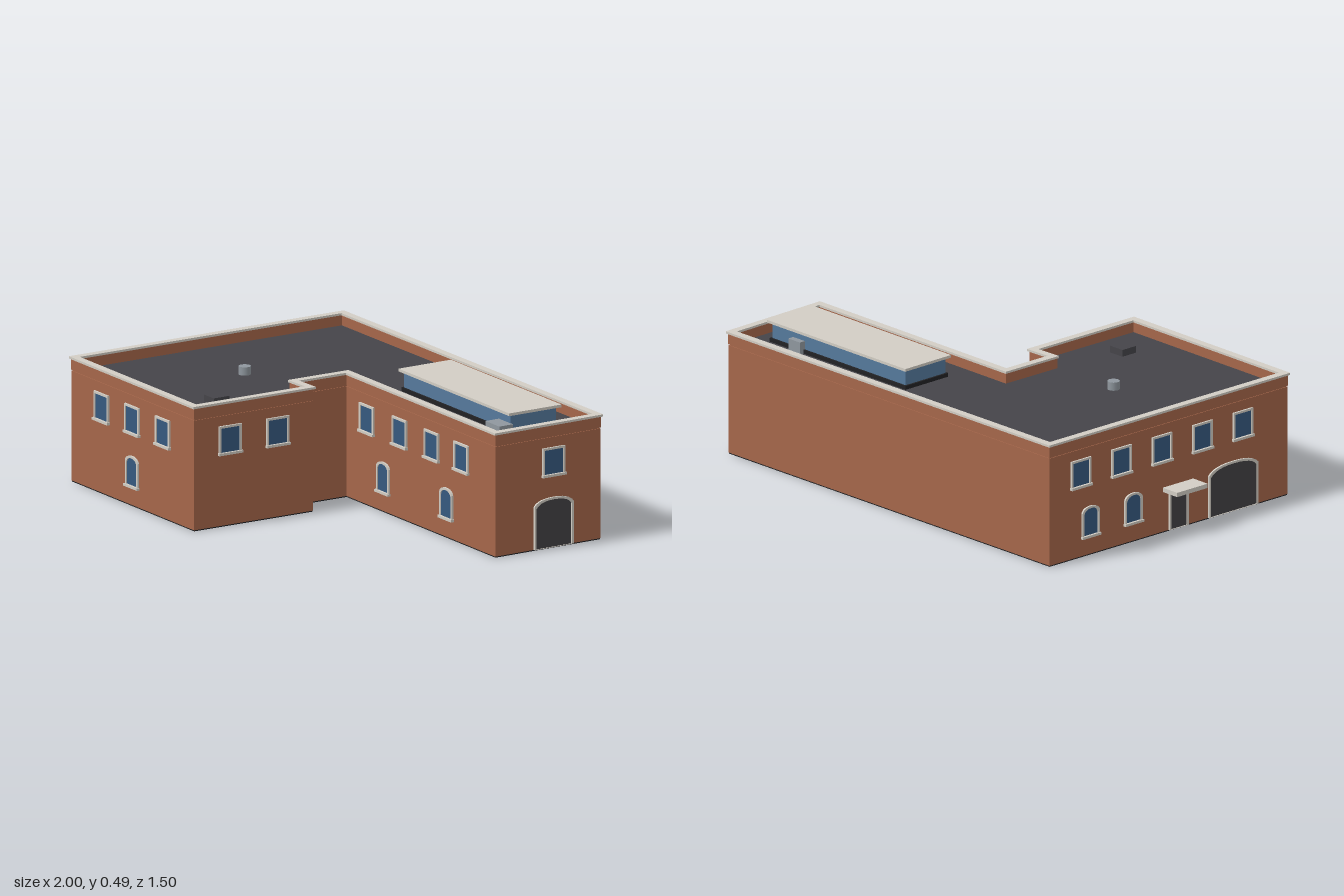
import * as THREE from 'three';

const mat = (color) => new THREE.MeshStandardMaterial({ color });
const BRICK = mat(0xa5664a), STONE = mat(0xd2cdc4), ROOF = mat(0x454449), GLASS = mat(0x36597f),
  DARK = mat(0x222224), DOOR = mat(0x434245), METAL = mat(0x8f979e), SKY = mat(0x55799c);

// Footprint corners (x, z), walking round from the rear corner
const PLAN = [[-0.18, -0.75], [1, 0.42], [0.68, 0.75], [0, 0.065],
  [-0.14, 0.2], [-0.065, 0.27], [-0.43, 0.625], [-1, 0.05]].map(([x, z]) => new THREE.Vector2(x, z));

const inward = (p, q) => {
  const d = q.clone().sub(p).normalize();
  return new THREE.Vector2(-d.y, d.x);
};

// Footprint moved inwards by t with mitred corners
function inset(t) {
  const n = PLAN.length;
  return PLAN.map((p, i) => {
    const a = inward(PLAN[(i + n - 1) % n], p), b = inward(p, PLAN[(i + 1) % n]);
    return p.clone().addScaledVector(a.clone().add(b), t / (1 + a.dot(b)));
  });
}

function add(parent, name, geometry, material, x = 0, y = 0, z = 0) {
  const mesh = new THREE.Mesh(geometry, material);
  mesh.name = name;
  mesh.position.set(x, y, z);
  parent.add(mesh);
  return mesh;
}

const box = (parent, name, material, w, h, d, x, y, z) =>
  add(parent, name, new THREE.BoxGeometry(w, h, d), material, x, y, z);

// Horizontal layer of the footprint, a ring when an inner inset is given
function layer(parent, name, material, y0, y1, outer, inner) {
  const shape = new THREE.Shape(inset(outer));
  if (inner) shape.holes.push(new THREE.Path(inset(inner)));
  const geometry = new THREE.ExtrudeGeometry(shape, { depth: y1 - y0, bevelEnabled: false });
  geometry.rotateX(Math.PI / 2);
  add(parent, name, geometry, material, 0, y1, 0);
}

// Upright opening outline with an optional shallow arched head
function outline(Type, w, y0, y1, rise) {
  const s = new Type();
  s.moveTo(-w / 2, y0);
  s.lineTo(w / 2, y0);
  s.lineTo(w / 2, y1 - rise);
  if (rise) s.quadraticCurveTo(w / 2 - w * 0.1, y1, 0, y1).quadraticCurveTo(-w / 2 + w * 0.1, y1, -w / 2, y1 - rise);
  else s.lineTo(-w / 2, y1);
  s.closePath();
  return s;
}

const extrude = (shape, depth) =>
  new THREE.ExtrudeGeometry(shape, { depth, bevelEnabled: false, curveSegments: 6 });

function opening(name, w, y0, y1, rise, fill, sill) {
  const g = new THREE.Group(), t = 0.008;
  g.name = name;
  const frame = outline(THREE.Shape, w, y0, y1, rise);
  const bottom = sill ? y0 + t : y0 + 0.001;
  frame.holes.push(outline(THREE.Path, w - 2 * t, bottom, y1 - t, rise));
  add(g, 'frame', extrude(frame, 0.007), STONE);
  add(g, 'panel', extrude(outline(THREE.Shape, w - 2 * t, bottom, y1 - t, rise), 0.003), fill);
  if (sill) box(g, 'sill', STONE, w + 0.006, 0.009, 0.012, 0, y0 + 0.0045, 0.006);
  return g;
}

const KINDS = {
  window: () => opening('window', 0.093, 0.262, 0.368, 0, GLASS, true),
  arched: () => opening('archedWindow', 0.082, 0.068, 0.184, 0.02, GLASS, true),
  gate: () => opening('archedDoor', 0.165, 0.004, 0.186, 0.025, DOOR, false),
  garage: () => opening('garageDoor', 0.235, 0.004, 0.19, 0.03, DOOR, false),
  door: () => {
    const g = opening('entranceDoor', 0.09, 0.004, 0.15, 0, DOOR, false);
    box(g, 'canopy', STONE, 0.145, 0.016, 0.075, 0, 0.16, 0.0375);
    return g;
  },
};

// Openings per wall: wall index, kind, positions along the wall (0 to 1)
const FACADES = [
  [1, 'window', [0.45]], [1, 'gate', [0.45]],
  [2, 'window', [0.225, 0.425, 0.64, 0.86]], [2, 'arched', [0.325, 0.75]],
  [5, 'window', [0.3, 0.7]],
  [6, 'window', [0.25, 0.5, 0.75]], [6, 'arched', [0.5]],
  [7, 'window', [0.19, 0.36, 0.53, 0.7, 0.87]], [7, 'arched', [0.65, 0.83]],
  [7, 'door', [0.46]], [7, 'garage', [0.23]],
];

export function createModel() {
  const model = new THREE.Group();
  model.name = 'building';

  // Walls, parapet, coping and roof
  layer(model, 'basePlate', DARK, 0, 0.004, 0.008);
  layer(model, 'walls', BRICK, 0.004, 0.404, 0.007);
  layer(model, 'shadowGroove', BRICK, 0.404, 0.408, 0.01);
  layer(model, 'parapet', BRICK, 0.408, 0.448, 0.006, 0.024);
  layer(model, 'coping', STONE, 0.448, 0.456, 0, 0.028);
  layer(model, 'roof', ROOF, 0.406, 0.41, 0.02);

  // Windows and doors
  const walls = inset(0.007);
  for (const [i, kind, places] of FACADES) {
    const p = walls[i], q = walls[(i + 1) % walls.length], n = inward(p, q);
    for (const f of places) {
      const g = KINDS[kind]();
      const at = p.clone().lerp(q, f);
      g.position.set(at.x, 0, at.y);
      g.rotation.y = Math.atan2(-n.x, -n.y);
      model.add(g);
    }
  }

  // Glazed roof light on the wing, with its service boxes
  const light = new THREE.Group();
  light.name = 'roofLight';
  light.position.set(0.526, 0, 0.2725);
  light.rotation.y = -Math.PI / 4;
  model.add(light);
  box(light, 'curb', DARK, 0.7, 0.014, 0.206, 0, 0.417, 0);
  box(light, 'glazing', SKY, 0.686, 0.072, 0.192, 0, 0.446, 0);
  box(light, 'roofSlab', STONE, 0.714, 0.01, 0.22, 0, 0.486, 0);
  box(light, 'serviceUnit', METAL, 0.09, 0.04, 0.058, 0.314, 0.43, 0.124);
  box(light, 'sideUnit', METAL, 0.06, 0.045, 0.026, 0.206, 0.4325, -0.107);

  // Roof vent and hatch
  add(model, 'vent', new THREE.CylinderGeometry(0.022, 0.022, 0.03, 16), METAL, -0.38, 0.425, -0.01);
  box(model, 'hatch', ROOF, 0.065, 0.025, 0.065, -0.4, 0.4225, 0.375).rotation.y = Math.PI / 4;

  return model;
}
